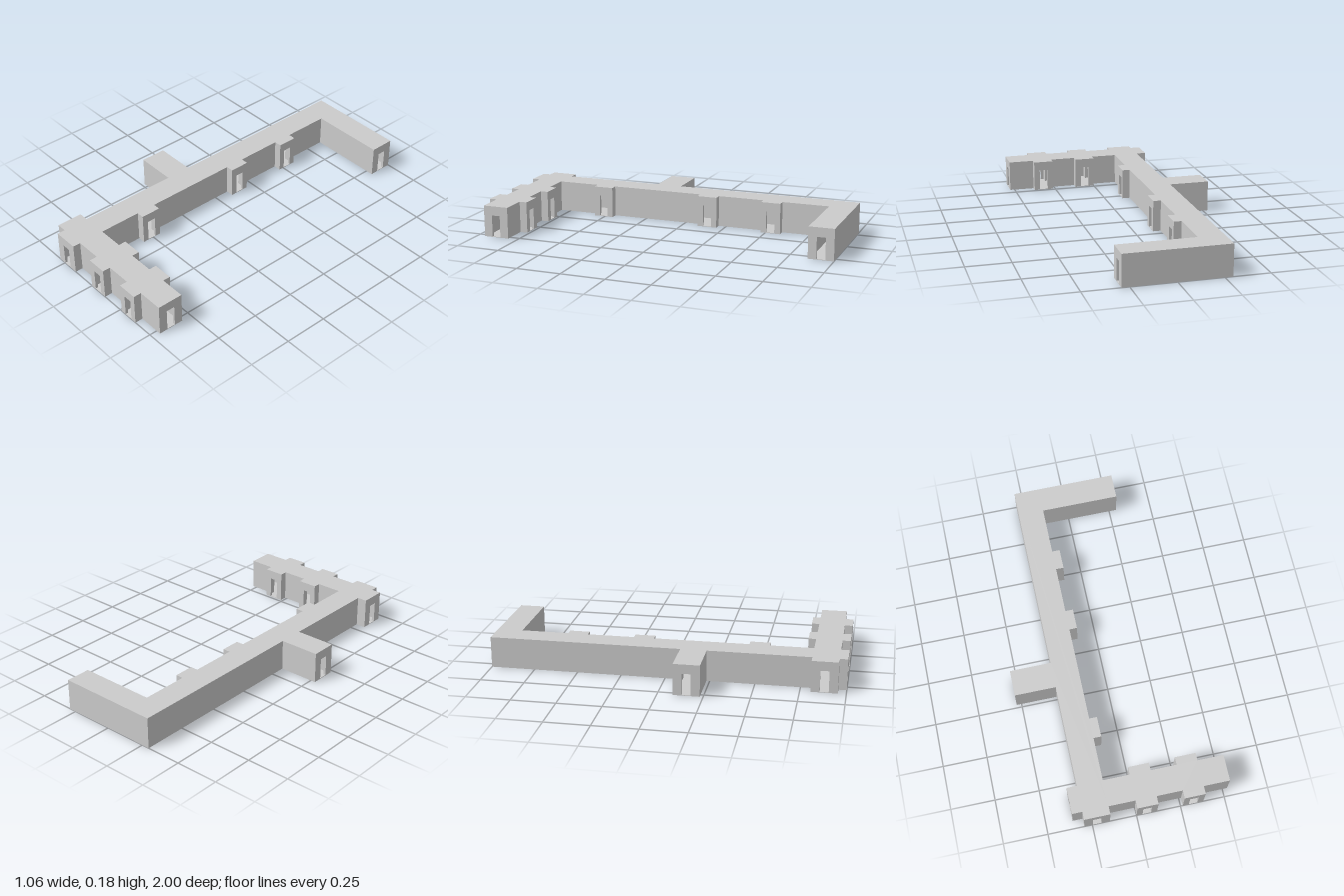
import * as THREE from 'three';

const HEIGHT = 0.178, WALL = 0.015, FLOOR = 0.003;
const DOOR_WIDTH = 0.049, DOOR_TOP = 0.125;

// Ground plan, counterclockwise from above: [x, z, door in the wall that starts here]
const PLAN = [
  // front wing, front side with three porches
  [-0.352, 0.955], [-0.295, 0.955], [-0.295, 1, 1], [-0.15, 1], [-0.15, 0.955],
  [0, 0.955], [0, 1, 1], [0.117, 1], [0.117, 0.955],
  [0.263, 0.955], [0.263, 1, 1], [0.38, 1], [0.38, 0.955], [0.527, 0.955, 1],
  // front wing, courtyard side with two porches
  [0.527, 0.808], [0.38, 0.808], [0.38, 0.765, 1], [0.263, 0.765], [0.263, 0.808],
  [0.117, 0.808], [0.117, 0.765, 1], [0, 0.765], [0, 0.808],
  // long corridor, courtyard side with three porches
  [-0.15, 0.808], [-0.15, 0.565], [-0.106, 0.565, 1], [-0.106, 0.45], [-0.15, 0.45],
  [-0.15, -0.09], [-0.106, -0.09, 1], [-0.106, -0.205], [-0.15, -0.205],
  [-0.15, -0.472], [-0.106, -0.472, 1], [-0.106, -0.587], [-0.15, -0.587],
  // rear wing
  [-0.15, -0.857], [0.293, -0.857, 1], [0.293, -1], [-0.295, -1],
  // outer side with the side entrance, and the front wing's end
  [-0.295, 0.085], [-0.528, 0.085, 1], [-0.528, 0.232], [-0.295, 0.232],
  [-0.295, 0.808], [-0.352, 0.808, 1],
];

const material = new THREE.MeshStandardMaterial({ color: 0xcccccc, flatShading: true });

function addMesh(parent, geometry, name) {
  const mesh = new THREE.Mesh(geometry, material);
  mesh.name = name;
  parent.add(mesh);
  return mesh;
}

// Horizontal slab with the outline of the whole plan
function slab(y, thickness) {
  const shape = new THREE.Shape(PLAN.map(([x, z]) => new THREE.Vector2(x, -z)));
  return new THREE.ExtrudeGeometry(shape, { depth: thickness, bevelEnabled: false })
    .rotateX(-Math.PI / 2).translate(0, y, 0);
}

// Upright wall from u0 to u1, optionally with a doorway centred on mid
function wallPanel(u0, u1, mid, door) {
  const top = HEIGHT - WALL, half = DOOR_WIDTH / 2;
  const points = [[u0, FLOOR]];
  if (door) {
    points.push([mid - half, FLOOR], [mid - half, DOOR_TOP], [mid + half, DOOR_TOP], [mid + half, FLOOR]);
  }
  points.push([u1, FLOOR], [u1, top], [u0, top]);
  const shape = new THREE.Shape(points.map(([u, v]) => new THREE.Vector2(u, v)));
  return new THREE.ExtrudeGeometry(shape, { depth: WALL, bevelEnabled: false }).translate(0, 0, -WALL);
}

export function createModel() {
  const building = new THREE.Group();
  building.name = 'corridorBuilding';
  addMesh(building, slab(0, FLOOR), 'floor');
  addMesh(building, slab(HEIGHT - WALL, WALL), 'roof');

  const walls = new THREE.Group();
  walls.name = 'walls';
  building.add(walls);

  const n = PLAN.length;
  const corner = (i) => PLAN[(i + n) % n];
  const edge = (i) => [corner(i + 1)[0] - corner(i)[0], corner(i + 1)[1] - corner(i)[1]];
  // True where the outline turns outward at corner i
  const isConvex = (i) => {
    const a = edge(i - 1), b = edge(i);
    return a[1] * b[0] - a[0] * b[1] > 0;
  };

  PLAN.forEach(([x, z, door], i) => {
    const [dx, dz] = edge(i);
    const length = Math.hypot(dx, dz);
    // Butt the panels together at the corners without overlap
    const u0 = isConvex(i) ? WALL : 0;
    const u1 = isConvex(i + 1) ? length : length + WALL;
    const panel = addMesh(walls, wallPanel(u0, u1, length / 2, door), door ? 'doorWall' : 'wall');
    panel.position.set(x, 0, z);
    panel.rotation.y = Math.atan2(-dz, dx);
  });

  return building;
}
